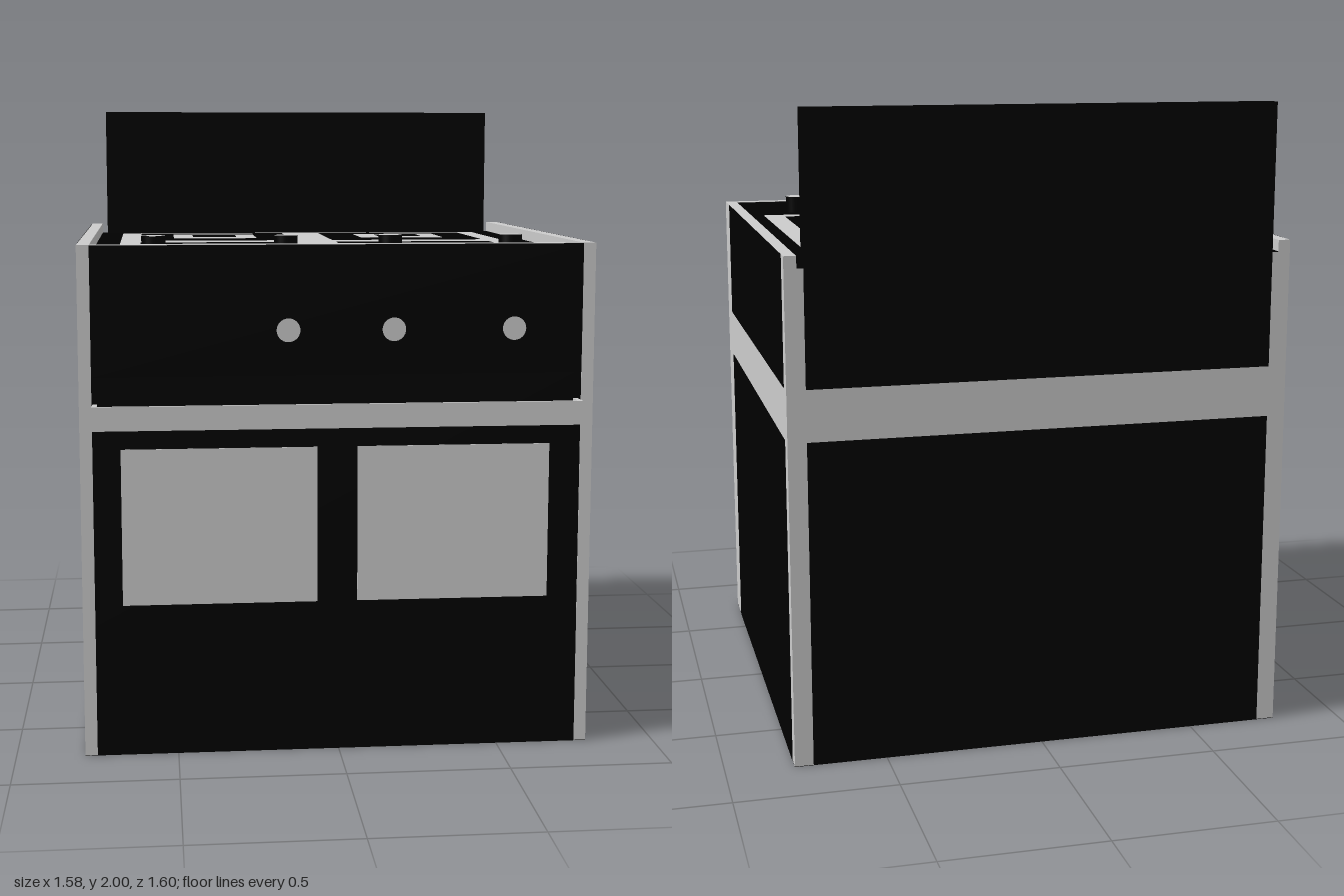
import * as THREE from 'three';

const grey = new THREE.MeshStandardMaterial({ color: 0xcccccc });
const black = new THREE.MeshStandardMaterial({ color: 0x000000 });

export function createModel() {
  const root = new THREE.Group();
  root.name = 'stove';

  // Box given by its extents on each axis
  const box = (name, mat, [x0, x1], [y0, y1], [z0, z1]) => {
    const mesh = new THREE.Mesh(new THREE.BoxGeometry(x1 - x0, y1 - y0, z1 - z0), mat);
    mesh.position.set((x0 + x1) / 2, (y0 + y1) / 2, (z0 + z1) / 2);
    mesh.name = name;
    root.add(mesh);
  };

  const W = 0.788;      // half width outside
  const IN = 0.75;      // half width between the side walls
  const H = 1.577;      // top of the rim
  const TOP = 1.54;     // sunken cooktop
  const BACK = -0.799, FRONT = 0.77;
  const DOOR = 0.733;   // recessed door face
  const T = 0.0015;     // thickness of surface panels

  // Core and side walls; the walls rise above the cooktop as a rim
  box('cabinetCore', grey, [-IN, IN], [T, TOP], [BACK, DOOR]);
  for (const s of [-1, 1]) {
    const x = s * (W + IN) / 2, h = (W - IN) / 2;
    box('sideWall', grey, [x - h, x + h], [T, H], [BACK, FRONT]);
    // Dark reveal beside the recessed door
    const r = s * (IN - T / 2);
    box('doorReveal', black, [r - T / 2, r + T / 2], [0.4, 1.18], [DOOR, FRONT - T]);
  }
  box('underside', black, [-W, W], [0, T], [BACK, FRONT]);

  // Dark panels above and below the grey belt, on both sides and the back
  for (const [label, y, yBack] of [
    ['lower', [T, 1.02], [T, 1.02]],
    ['upper', [1.18, H], [1.18, TOP]],
  ]) {
    box(label + 'RightPanel', black, [-W - T, -W], y, [-0.75, 0.64]);
    box(label + 'LeftPanel', black, [W, W + T], y, [-0.75, 0.64]);
    box(label + 'BackPanel', black, [-0.73, 0.73], yBack, [BACK - T, BACK]);
  }

  // Front: flush control panel and drawer, recessed door with two windows
  box('controlPanel', black, [-IN, IN], [1.18, H - T], [DOOR, FRONT]);
  box('controlPanelTop', grey, [-IN, IN], [H - T, H], [DOOR, FRONT]);
  box('drawer', black, [-IN, IN], [T, 0.4], [DOOR, FRONT]);
  box('door', black, [-IN, IN], [0.4, 1.18], [DOOR, DOOR + T]);
  box('rightWindow', grey, [-0.666, -0.064], [0.465, 0.953], [DOOR, DOOR + 2 * T]);
  box('leftWindow', grey, [0.061, 0.662], [0.465, 0.953], [DOOR, DOOR + 2 * T]);

  // Door handle: a flat bar on two end posts
  box('handleBar', grey, [-IN, IN], [1.02, 1.094], [0.79, 0.8]);
  for (const s of [-1, 1]) {
    const x = s * 0.742;
    box('handlePost', grey, [x - 0.008, x + 0.008], [1.02, 1.094], [DOOR, 0.79]);
  }

  // Upright splashback
  box('splashback', black, [-0.73, 0.73], [TOP, 2], [BACK - T, -0.75]);

  // Sunken cooktop, layered from the dark surface up to the burner centres
  const layer = (name, mat, x, z, n) => box(name, mat, x, [TOP, TOP + n * T], z);
  layer('cooktop', black, [-IN, IN], [BACK, DOOR], 1);
  layer('hobPlate', grey, [-0.67, 0.67], [-0.7, 0.58], 2);
  for (const cx of [-0.336, 0.336]) {
    for (const cz of [-0.38, 0.26]) {
      const square = (name, mat, hw, hd, n) =>
        layer(name, mat, [cx - hw, cx + hw], [cz - hd, cz + hd], n);
      square('burnerWell', black, 0.265, 0.248, 3);
      square('burnerRing', grey, 0.147, 0.13, 4);
      square('burnerCentre', black, 0.077, 0.06, 5);
    }
  }

  // Knobs: dark rim, grey face
  const knob = (name, height, x, y, z) => {
    const mesh = new THREE.Mesh(
      new THREE.CylinderGeometry(0.036, 0.036, height, 32), [black, grey, black]);
    mesh.position.set(x, y, z);
    mesh.name = name;
    root.add(mesh);
    return mesh;
  };
  for (const x of [-0.558, -0.156, 0.165, 0.538]) {
    knob('topKnob', 0.06, x, TOP + 0.03, 0.685);
  }
  for (const x of [-0.157, 0.164, 0.533]) {
    knob('frontKnob', 0.028, x, 1.32, FRONT + 0.014).rotation.x = Math.PI / 2;
  }

  return root;
}
